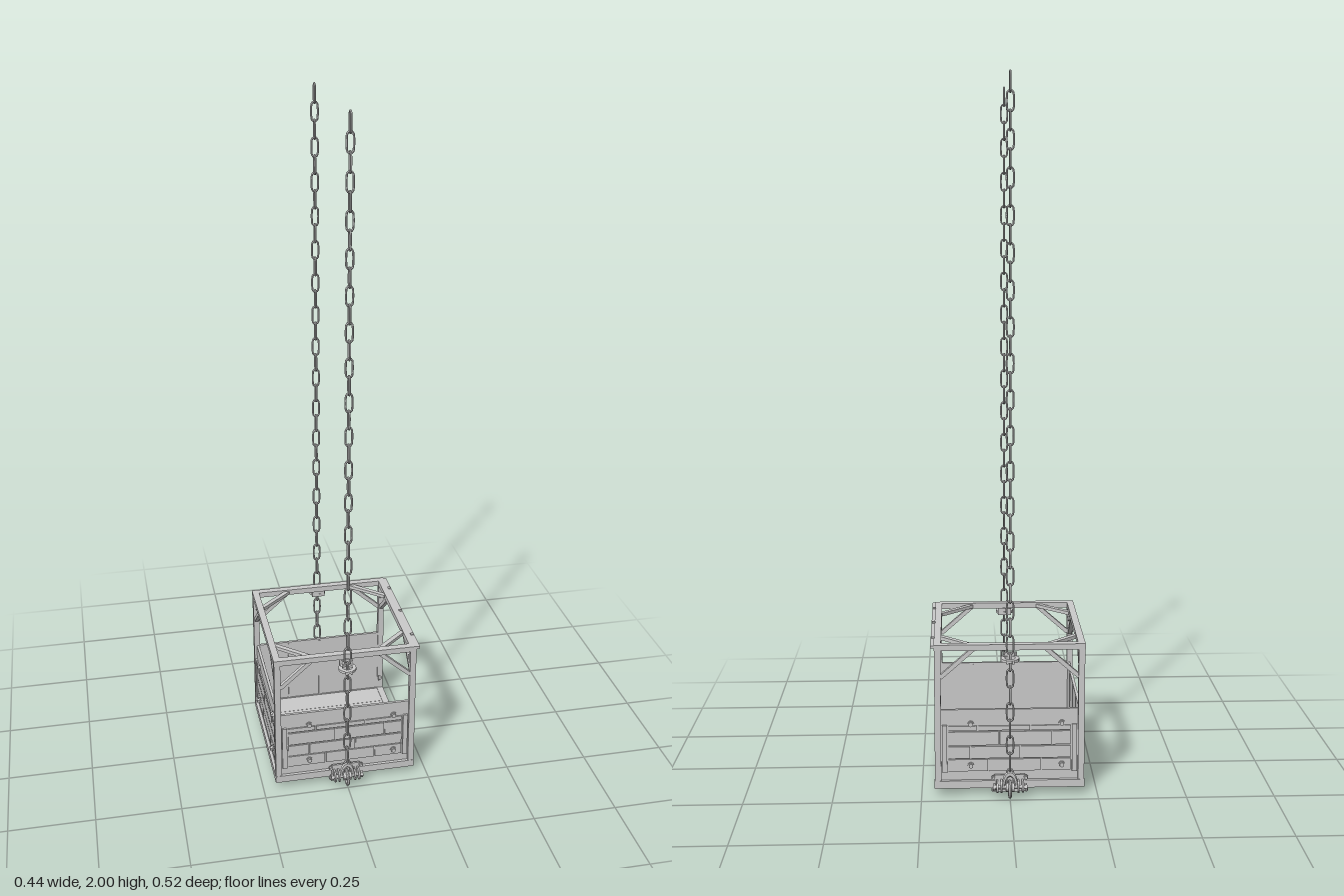
import * as THREE from 'three';

const mat = new THREE.MeshStandardMaterial({ color: 0xcccccc, flatShading: true });

function add(parent, name, geometry, x = 0, y = 0, z = 0) {
  const mesh = new THREE.Mesh(geometry, mat);
  mesh.name = name;
  mesh.position.set(x, y, z);
  parent.add(mesh);
  return mesh;
}
const box = (parent, name, w, h, d, x, y, z) => add(parent, name, new THREE.BoxGeometry(w, h, d), x, y, z);

function group(parent, name) {
  const g = new THREE.Group();
  g.name = name;
  parent.add(g);
  return g;
}

// Square bar running between two points
function bar(parent, name, a, b, w, h) {
  const p = new THREE.Vector3(...a), q = new THREE.Vector3(...b);
  const mesh = box(parent, name, w, h, p.distanceTo(q), 0, 0, 0);
  mesh.position.copy(p).add(q).multiplyScalar(0.5);
  mesh.lookAt(q);
  return mesh;
}

// Hexagonal bolt pointing along +z, with washer
function bolt(parent, x, y, z, r = 0.007) {
  const g = group(parent, 'bolt');
  g.position.set(x, y, z);
  const washer = add(g, 'washer', new THREE.CylinderGeometry(r * 1.3, r * 1.3, 0.003, 12), 0, 0, 0.0015);
  const head = add(g, 'boltHead', new THREE.CylinderGeometry(r, r, 0.006, 6), 0, 0, 0.006);
  washer.rotation.x = head.rotation.x = Math.PI / 2;
  return g;
}

// Wall built facing +z: sheet, staggered planks, end straps, bolts
function wall(parent, name, angle, boltXs) {
  const g = group(parent, name);
  g.rotation.y = angle;
  box(g, 'sheet', 0.395, 0.22, 0.008, 0, 0.142, 0.2);
  const rows = [[0.07, 0.105], [0.108, 0.143], [0.147, 0.187], [0.191, 0.204]];
  const seams = [[-0.06, 0.09], [-0.11, 0.03], [-0.03, 0.12], [-0.09, 0.06]];
  rows.forEach(([y0, y1], i) => {
    const xs = [-0.175, ...seams[i], 0.175];
    for (let k = 0; k < 3; k++) {
      box(g, 'plank', xs[k + 1] - xs[k] - 0.004, y1 - y0, 0.004,
        (xs[k] + xs[k + 1]) / 2, (y0 + y1) / 2, 0.206);
    }
  });
  for (const s of [-1, 1]) box(g, 'strap', 0.014, 0.14, 0.007, s * 0.184, 0.137, 0.207);
  for (const x of boltXs) for (const y of [0.088, 0.21]) bolt(g, x, y, y > 0.2 ? 0.204 : 0.208);
  // Inner seams
  for (const x of [-0.1, 0, 0.1]) box(g, 'innerBatten', 0.006, 0.21, 0.002, x, 0.142, 0.195);
  return g;
}

function frame(parent) {
  const g = group(parent, 'frame');
  const E = 0.203;
  for (const sx of [-1, 1]) for (const sz of [-1, 1]) {
    box(g, 'cornerPost', 0.018, 0.41, 0.018, sx * E, 0.235, sz * E);
    // Braces in the three planes meeting at each upper corner
    const p = 0.1, q = 0.195;
    bar(g, 'sideBrace', [sx * q, 0.348, sz * E], [sx * p, 0.432, sz * E], 0.012, 0.012);
    bar(g, 'sideBrace', [sx * E, 0.348, sz * q], [sx * E, 0.432, sz * p], 0.012, 0.012);
    bar(g, 'topBrace', [sx * q, 0.435, sz * 0.112], [sx * 0.102, 0.435, sz * q], 0.014, 0.01);
    // Bolts on the posts beside the open side
    for (const y of [0.085, 0.395]) {
      const b = bolt(g, sx * 0.196, y, sz * 0.185, 0.006);
      b.rotation.y = sx * Math.PI / 2;
    }
  }
  for (const s of [-1, 1]) {
    box(g, 'topRail', 0.424, 0.017, 0.02, 0, 0.436, s * E);
    box(g, 'topRail', 0.02, 0.017, 0.424, s * E, 0.436, 0);
    box(g, 'bottomRail', 0.424, 0.022, 0.02, 0, 0.032, s * E);
    box(g, 'bottomRail', 0.02, 0.022, 0.424, s * E, 0.032, 0);
  }
  // Lip over the open side
  box(g, 'doorLip', 0.012, 0.008, 0.424, 0.216, 0.439, 0);
  for (const z of [-0.143, 0, 0.143]) box(g, 'lipStud', 0.01, 0.005, 0.008, 0.216, 0.4445, z);
}

function floor(parent) {
  const g = group(parent, 'floor');
  for (let i = 0; i < 5; i++) {
    box(g, 'floorBoard', 0.4, 0.006, 0.078, 0, 0.038, -0.158 + i * 0.079);
  }
  box(g, 'floorPlate', 0.4, 0.003, 0.4, 0, 0.0345, 0);
  for (const x of [-0.068, 0.068]) box(g, 'floorBeam', 0.016, 0.012, 0.4, x, 0.028, 0);
  for (const z of [-0.12, -0.04, 0.04, 0.12]) box(g, 'floorJoist', 0.4, 0.008, 0.01, 0, 0.03, z);
}

// Oval chain link standing upright in the y-z plane
function linkGeometry(half, radius, wire) {
  const pts = [];
  for (let i = 0; i < 12; i++) {
    const a = ((i + 0.5) / 12) * Math.PI * 2;
    pts.push(new THREE.Vector3(0, Math.sin(a) * radius + Math.sign(Math.sin(a)) * half, Math.cos(a) * radius));
  }
  return new THREE.TubeGeometry(new THREE.CatmullRomCurve3(pts, true), 24, wire, 6, true);
}

// Chain with its guide and lower anchor, built on the +z side
function hoist(parent, name, angle) {
  const g = group(parent, name);
  g.rotation.y = angle;
  const Z = 0.234;
  const chain = group(g, 'chain');
  const geo = linkGeometry(0.0185, 0.0085, 0.003);
  for (let i = 0; i < 40; i++) {
    const link = add(chain, 'chainLink', geo, 0, 1.97 - i * 0.049, Z);
    link.rotation.y = (i % 2) * Math.PI / 2;
  }

  // Guide: flat ring held against the cage
  const guide = group(g, 'chainGuide');
  const ring = new THREE.Shape().absarc(0, 0, 0.026, 0, Math.PI * 2);
  ring.holes.push(new THREE.Path().absarc(0, 0, 0.015, 0, Math.PI * 2, true));
  const ringGeo = new THREE.ExtrudeGeometry(ring, { depth: 0.008, bevelEnabled: false, curveSegments: 10 });
  add(guide, 'guideRing', ringGeo, 0, 0.412, Z - 0.003).rotation.x = Math.PI / 2;
  box(guide, 'guideMount', 0.04, 0.02, 0.008, 0, 0.412, 0.211);
  for (const s of [-1, 1]) {
    box(guide, 'guideStud', 0.006, 0.01, 0.006, s * 0.008, 0.408, 0.257);
    bar(guide, 'guideArm', [s * 0.016, 0.425, 0.21], [s * 0.016, 0.41, 0.222], 0.006, 0.006);
  }

  // Anchor: lugs, cross pin and shackle
  const anchor = group(g, 'anchor');
  box(anchor, 'backPlate', 0.086, 0.05, 0.006, 0, 0.036, 0.213);
  for (const x of [-0.036, -0.024, 0.024, 0.036]) {
    const lug = add(anchor, 'lug', new THREE.CylinderGeometry(0.016, 0.016, 0.005, 12), x, 0.032, Z);
    lug.rotation.z = Math.PI / 2;
    box(anchor, 'lugRoot', 0.005, 0.032, 0.022, x, 0.032, 0.223);
  }
  const pin = add(anchor, 'pin', new THREE.CylinderGeometry(0.006, 0.006, 0.09, 10), 0, 0.032, Z);
  pin.rotation.z = Math.PI / 2;
  for (const s of [-1, 1]) {
    const nut = add(anchor, 'pinNut', new THREE.CylinderGeometry(0.01, 0.01, 0.007, 6), s * 0.045, 0.032, Z);
    nut.rotation.z = Math.PI / 2;
    for (const y of [0.018, 0.054]) bolt(anchor, s * 0.046, y, 0.215, 0.005);
  }
  const shackle = add(anchor, 'shackle', new THREE.TorusGeometry(0.021, 0.005, 8, 20), 0, 0.026, Z);
  shackle.rotation.y = Math.PI / 2;
  const eye = add(anchor, 'shackleBow', new THREE.TorusGeometry(0.018, 0.005, 6, 12, Math.PI), 0, 0.036, Z);
  eye.scale.y = 2;
  const hub = add(anchor, 'hub', new THREE.CylinderGeometry(0.013, 0.013, 0.024, 12), 0, 0.032, Z);
  hub.rotation.z = Math.PI / 2;
}

export function createModel() {
  const model = new THREE.Group();
  model.name = 'liftCage';
  frame(model);
  floor(model);
  // The +x side stays open
  wall(model, 'frontWall', 0, [-0.11, 0.148]);
  wall(model, 'backWall', Math.PI, [-0.11, 0.148]);
  wall(model, 'rightWall', -Math.PI / 2, [-0.13, 0.13]);
  hoist(model, 'frontHoist', 0);
  hoist(model, 'backHoist', Math.PI);
  return model;
}
